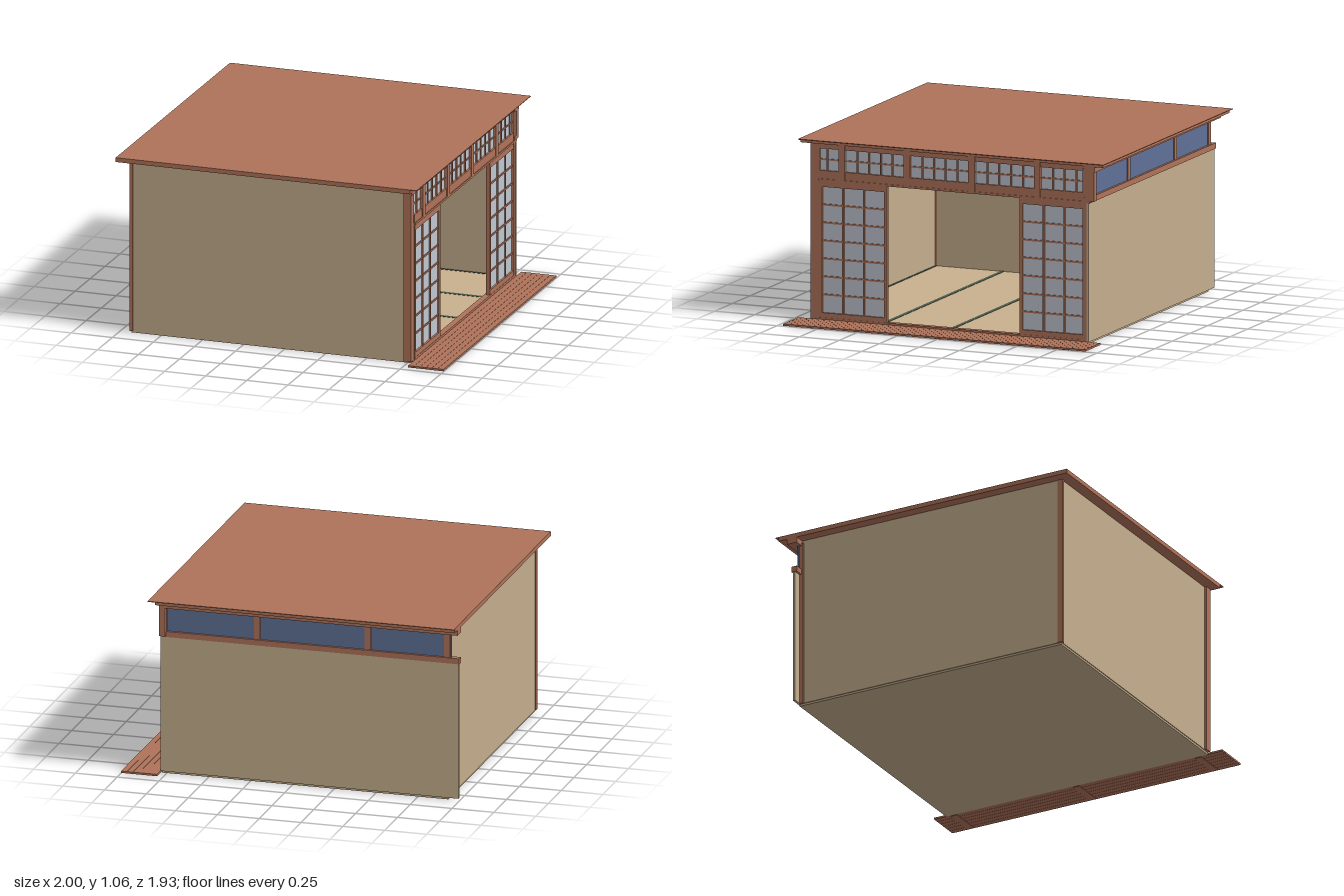
import * as THREE from 'three';

const mat = (name, color, side = THREE.FrontSide) => {
  const m = new THREE.MeshStandardMaterial({ color, side });
  m.name = name;
  return m;
};

export function createModel() {
  const room = new THREE.Group();
  room.name = 'tatamiRoom';
  const wood = mat('cedar wood', 0xb0735a);
  const plaster = mat('tan plaster', 0xc5ae8d);
  const straw = mat('tatami straw', 0xc8b18e);
  const paper = mat('shoji paper', 0xc1c7d1);
  const blue = mat('blue glass', 0x5f7097);
  const green = mat('dark green', 0x4b5c4c);

  // Box given by its lower and upper limits on each axis
  const box = (parent, name, m, x0, x1, y0, y1, z0, z1) => {
    const mesh = new THREE.Mesh(new THREE.BoxGeometry(x1 - x0, y1 - y0, z1 - z0), m);
    mesh.position.set((x0 + x1) / 2, (y0 + y1) / 2, (z0 + z1) / 2);
    mesh.name = name;
    parent.add(mesh);
    return mesh;
  };
  const group = (name) => {
    const g = new THREE.Group();
    g.name = name;
    room.add(g);
    return g;
  };

  // Floor base with eight bordered mats
  const floor = group('floor');
  box(floor, 'floorBase', plaster, -0.93, 0.78, 0, 0.012, -0.845, 0.87);
  for (let i = 0; i < 2; i++) {
    for (let j = 0; j < 4; j++) {
      const x0 = -0.92 + i * 0.83, z0 = -0.82 + j * 0.42;
      box(floor, 'mat', straw, x0, x0 + 0.83, 0.012, 0.016, z0, z0 + 0.42);
      for (const z of [z0, z0 + 0.408]) {
        box(floor, 'matBorder', green, x0, x0 + 0.83, 0.016, 0.0175, z, z + 0.012);
      }
    }
  }

  // Plank deck along the open side
  const deck = group('deck');
  for (let i = 0; i < 6; i++) {
    const x = 0.785 + i * 0.0359;
    box(deck, 'deckBoard', wood, x, x + 0.0345, 0.003, 0.014, -0.927, 0.962);
  }
  for (const z of [-0.8, 0, 0.8]) box(deck, 'deckJoist', wood, 0.79, 0.99, 0, 0.004, z - 0.02, z + 0.02);

  // Plaster walls
  const walls = group('walls');
  box(walls, 'frontWall', plaster, -0.925, 0.735, 0.012, 1.036, 0.86, 0.875);
  box(walls, 'sideWall', plaster, -0.935, -0.925, 0.012, 1.036, -0.845, 0.87);
  box(walls, 'backWall', plaster, -0.995, 0.785, 0.012, 0.825, -0.853, -0.838);

  // Posts
  const posts = group('posts');
  box(posts, 'cornerPost', wood, 0.73, 0.775, 0.012, 1.036, 0.832, 0.889);
  box(posts, 'cornerPost', wood, -0.94, -0.92, 0.012, 1.036, 0.85, 0.882);
  for (const x of [0.765, 0.21, -0.45, -0.925]) {
    box(posts, 'backPost', wood, x - 0.018, x + 0.018, 0.012, 1.02, -0.8525, -0.815);
  }

  // Back transom: rails and blue panes
  const backTransom = group('backTransom');
  box(backTransom, 'lowerRail', wood, -1, 0.785, 0.822, 0.855, -0.86, -0.825);
  box(backTransom, 'upperRail', wood, -1, 0.785, 1.003, 1.036, -0.89, -0.825);
  box(backTransom, 'pane', blue, -0.952, 0.765, 0.855, 1.003, -0.846, -0.838);

  // Rails of the open side
  const facade = group('facadeRails');
  box(facade, 'threshold', wood, 0.745, 0.782, 0.012, 0.024, -0.85, 0.835);
  box(facade, 'lintel', wood, 0.745, 0.785, 0.82, 0.832, -0.85, 0.835);
  box(facade, 'transomSill', wood, 0.75, 0.78, 0.832, 0.88, -0.85, 0.845);
  box(facade, 'topBeam', wood, 0.745, 0.78, 1.008, 1.036, -0.89, 0.885);

  // Lattice panel facing +x with paper behind the bars
  const lattice = (name, z0, z1, y0, y1, cols, rows, bar) => {
    const g = group(name);
    box(g, 'paper', paper, 0.764, 0.768, y0, y1, z0, z1);
    for (let i = 1; i < cols; i++) {
      const z = z0 + (z1 - z0) * i / cols;
      box(g, 'verticalBar', wood, 0.758, 0.776, y0, y1, z - bar / 2, z + bar / 2);
    }
    for (let j = 1; j < rows; j++) {
      const y = y0 + (y1 - y0) * j / rows;
      box(g, 'horizontalBar', wood, 0.759, 0.774, y - bar / 2, y + bar / 2, z0, z1);
    }
    return g;
  };

  // Sliding screens
  for (const [z0, z1] of [[0.41, 0.832], [-0.845, -0.42]]) {
    const g = lattice('slidingScreen', z0 + 0.018, z1 - 0.016, 0.052, 0.785, 3, 7, 0.01);
    box(g, 'topRail', wood, 0.755, 0.78, 0.785, 0.82, z0, z1);
    box(g, 'bottomRail', wood, 0.755, 0.78, 0.024, 0.052, z0, z1);
    box(g, 'stile', wood, 0.755, 0.78, 0.052, 0.785, z0, z0 + 0.018);
    box(g, 'stile', wood, 0.755, 0.78, 0.052, 0.785, z1 - 0.016, z1);
  }

  // Transom lattices between short posts
  const bays = [[0.712, 0.855, 2], [0.305, 0.672, 5], [-0.1, 0.265, 5], [-0.51, -0.14, 5], [-0.845, -0.55, 4]];
  for (const [z0, z1, cols] of bays) {
    lattice('transomPanel', z0, z1, 0.88, 1.008, cols, 2, 0.009);
    const g = lattice.last = group('transomPost');
    box(g, 'shortPost', wood, 0.75, 0.785, 0.832, 1.036, z0 - 0.04, z0);
  }

  // Roof slab, projecting sheet and ceiling battens
  const roof = group('roof');
  box(roof, 'roofSlab', wood, -1, 0.79, 1.036, 1.06, -0.945, 0.945);
  box(roof, 'roofSheet', wood, -1, 0.83, 1.058, 1.062, -0.965, 0.945);
  for (let i = 1; i < 10; i++) {
    const z = -0.84 + i * 0.17;
    box(roof, 'ceilingBatten', wood, -0.92, 0.745, 1.022, 1.036, z - 0.006, z + 0.006);
  }
  for (let i = 1; i < 4; i++) {
    const x = -0.92 + i * 0.42;
    box(roof, 'ceilingCrossBatten', wood, x - 0.008, x + 0.008, 1.018, 1.036, -0.83, 0.86);
  }

  // Hanging picture with plain painted patches, and a small shelf below
  const scroll = group('hangingPicture');
  box(scroll, 'hangingPaper', plaster, -0.925, -0.921, 0.2, 0.78, -0.07, 0.11);
  box(scroll, 'hangingRod', wood, -0.925, -0.913, 0.78, 0.792, -0.07, 0.13);
  for (const [y, h] of [[0.66, 0.08], [0.53, 0.09], [0.42, 0.06], [0.315, 0.08]]) {
    box(scroll, 'paintedPatch', green, -0.921, -0.918, y - h / 2, y + h / 2, -0.015, 0.052);
  }
  const shelf = group('shelf');
  box(shelf, 'shelfBoard', straw, -0.925, -0.85, 0.117, 0.128, -0.085, 0.14);
  const bowl = new THREE.Mesh(new THREE.SphereGeometry(0.02, 16, 10), wood);
  bowl.name = 'bowl';
  bowl.position.set(-0.885, 0.143, 0.06);
  shelf.add(bowl);

  return room;
}
